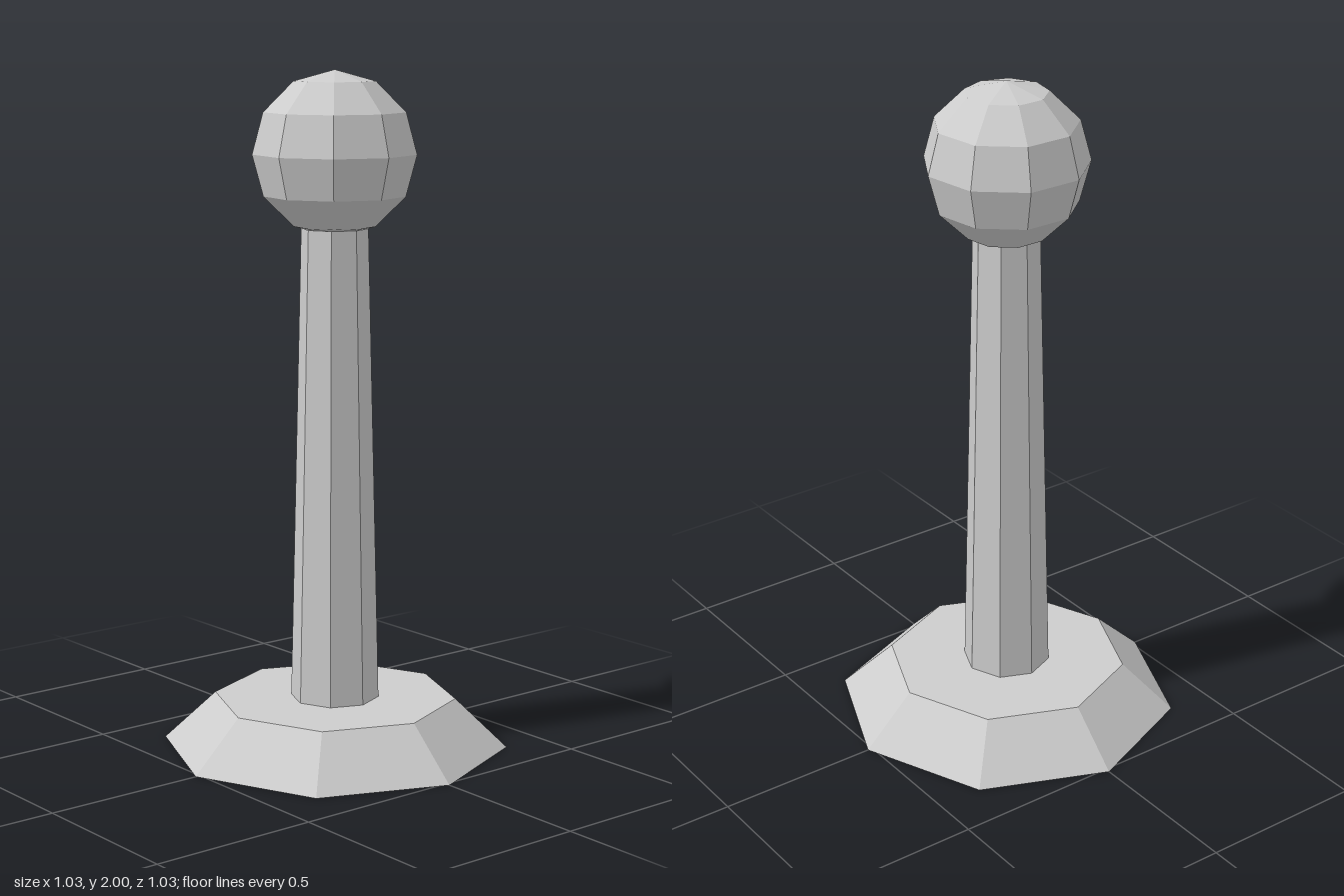
import * as THREE from 'three';

export function createModel() {
  const model = new THREE.Group();
  model.name = 'pawnPost';
  const grey = new THREE.MeshStandardMaterial({ color: 0xcccccc });
  grey.name = 'grey';

  // Faceted part: unshared vertices give flat normals
  const addPart = (name, geometry, y) => {
    const flat = geometry.toNonIndexed();
    flat.computeVertexNormals();
    const mesh = new THREE.Mesh(flat, grey);
    mesh.name = name;
    mesh.position.y = y;
    model.add(mesh);
    return mesh;
  };

  // Eight-sided sloping foot
  const baseHeight = 0.145;
  addPart('base', new THREE.CylinderGeometry(0.361, 0.515, baseHeight, 8), baseHeight / 2);

  // Tapering eight-sided column
  const columnTop = 1.545;
  const columnHeight = columnTop - baseHeight;
  addPart('column', new THREE.CylinderGeometry(0.098, 0.131, columnHeight, 8), baseHeight + columnHeight / 2);

  // Nine-sided ball, one corner towards +x
  addPart('ball', new THREE.SphereGeometry(0.24, 9, 6), 1.76).rotation.y = Math.PI;

  return model;
}
